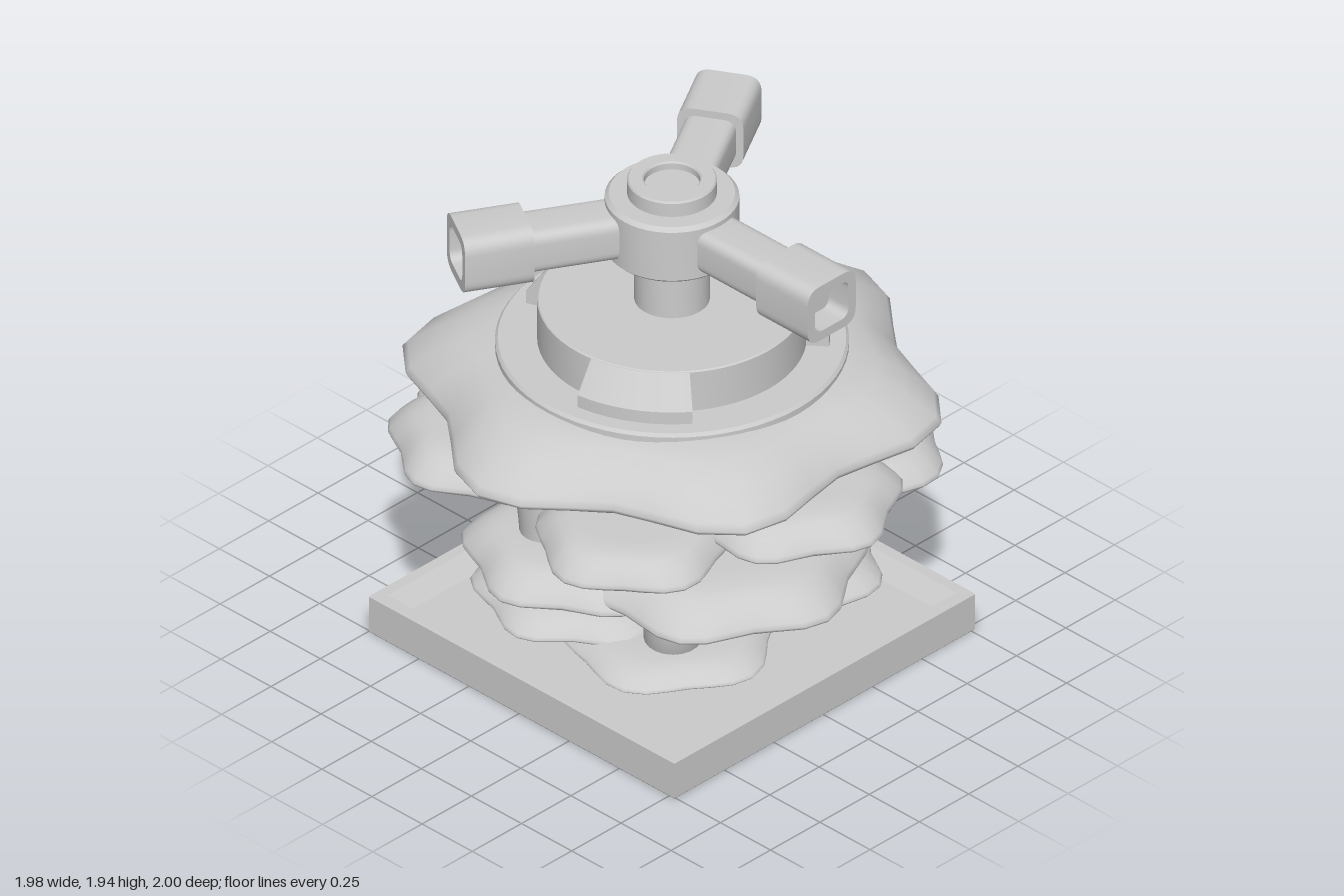
import * as THREE from 'three';
import { mergeVertices, toCreasedNormals } from 'three/addons/utils/BufferGeometryUtils.js';

const V2 = (p) => new THREE.Vector2(p[0], p[1]);
const grey = new THREE.MeshStandardMaterial({ color: 0xcccccc, side: THREE.DoubleSide });

function mesh(name, geometry) {
  const m = new THREE.Mesh(geometry, grey);
  m.name = name;
  return m;
}

// turned part with sharp edges kept
function turned(name, points, segments = 48, start = 0) {
  return mesh(name, toCreasedNormals(new THREE.LatheGeometry(points.map(V2), segments, start), 0.6));
}

// domed cap with a scalloped rim: profile in rim radius and height fractions
const CAP = [[0, 0.03], [0.6, 0.01], [0.86, 0], [0.95, 0.03], [0.99, 0.1], [1, 0.17], [0.98, 0.28],
  [0.93, 0.44], [0.86, 0.65], [0.76, 0.85], [0.64, 0.96], [0.45, 1], [0, 1]];

function scallopedCap(name, x, y0, y1, z, radius, lobes, turn, depth) {
  const pts = CAP.map(([r, h]) => new THREE.Vector2(r * radius, y0 + h * (y1 - y0)));
  let g = new THREE.LatheGeometry(pts, lobes * 6);
  g.deleteAttribute('uv');
  g.deleteAttribute('normal');
  g.rotateY(-Math.PI / 2 - turn);
  const p = g.attributes.position;
  for (let i = 0; i < p.count; i++) {
    const a = Math.atan2(p.getZ(i), p.getX(i)) - turn;
    const r = Math.hypot(p.getX(i), p.getZ(i)) / radius;
    const s = 1 - depth * Math.sin(a * lobes / 2) ** 2 * r * r;
    p.setX(i, p.getX(i) * s);
    p.setZ(i, p.getZ(i) * s);
  }
  g = mergeVertices(g, 1e-4);
  g.computeVertexNormals();
  const m = mesh(name, g);
  m.position.set(x, 0, z);
  return m;
}

function roundedSquare(path, w, h, r) {
  path.moveTo(-w + r, -h);
  path.lineTo(w - r, -h);
  path.quadraticCurveTo(w, -h, w, -h + r);
  path.lineTo(w, h - r);
  path.quadraticCurveTo(w, h, w - r, h);
  path.lineTo(-w + r, h);
  path.quadraticCurveTo(-w, h, -w, h - r);
  path.lineTo(-w, -h + r);
  path.quadraticCurveTo(-w, -h, -w + r, -h);
  return path;
}

function bar(name, shape, z0, z1) {
  const g = new THREE.ExtrudeGeometry(shape, { depth: z1 - z0, bevelEnabled: false, curveSegments: 6 });
  g.translate(0, 0, z0);
  return mesh(name, toCreasedNormals(g, 0.6));
}

// curved wedge against the drum: outer wall leans in near the top
function clip() {
  const half = 0.385, rIn = 0.44, rOut = 0.562, h = 0.172;
  const s = new THREE.Shape();
  s.absarc(0, 0, rOut, -half, half, false);
  s.absarc(0, 0, rIn, half, -half, true);
  const g = new THREE.ExtrudeGeometry(s, { depth: h, steps: 3, bevelEnabled: false, curveSegments: 12 });
  const p = g.attributes.position;
  for (let i = 0; i < p.count; i++) {
    const r = Math.hypot(p.getX(i), p.getY(i));
    if (r < 0.5) continue;
    const t = Math.max(0, (p.getZ(i) / h - 1 / 3) * 1.5);
    const k = (rOut - t * 0.08) / r;
    p.setXY(i, p.getX(i) * k, p.getY(i) * k);
  }
  g.rotateX(-Math.PI / 2);
  return mesh('drumClip', toCreasedNormals(g, 0.4));
}

export function createModel() {
  const model = new THREE.Group();
  const body = new THREE.Group();
  body.name = 'body';
  body.position.z = 0.02;
  model.add(body);

  // square tray with a sloping inner rim
  const k = Math.SQRT2;
  body.add(turned('baseTray', [[0, 0], [0.755 * k, 0], [0.762 * k, 0.008], [0.762 * k, 0.155], [0.757 * k, 0.162],
    [0.715 * k, 0.162], [0.655 * k, 0.1], [0, 0.1]], 4, Math.PI / 4));

  // leaning columns that curve inward at the foot: top x, z and radius
  for (const [x, z, r] of [[-0.38, 0.38, 0.105], [0.27, 0.42, 0.1], [0.54, -0.03, 0.11],
    [0.3, -0.42, 0.09], [-0.07, -0.48, 0.09], [-0.5, -0.2, 0.1], [-0.06, 0.2, 0.085]]) {
    const path = new THREE.CatmullRomCurve3([[0.5, 0.1], [0.82, 0.28], [0.91, 0.65], [1, 1.12]]
      .map(([f, y]) => new THREE.Vector3(x * f, y, z * f)));
    body.add(mesh('column', new THREE.TubeGeometry(path, 20, r, 20)));
  }

  // three tiers of small shelves: x, bottom, top, z, radius, lobes, turn
  const shelves = [
    // lower tier
    [0.28, 0.24, 0.335, 0.2, 0.43, 6, 0.1], [-0.24, 0.195, 0.27, 0.23, 0.4, 5, 2.8],
    [-0.28, 0.24, 0.335, -0.16, 0.41, 6, 3], [0.24, 0.195, 0.27, -0.24, 0.39, 5, 0.2],
    // middle tier
    [-0.09, 0.475, 0.62, 0.32, 0.55, 6, 1.57], [0.38, 0.45, 0.575, 0.1, 0.46, 6, 0],
    [-0.34, 0.45, 0.575, -0.1, 0.45, 6, 3.1], [0.1, 0.475, 0.61, -0.38, 0.47, 6, -1.57],
    // upper tier
    [0.02, 0.8, 0.925, 0.55, 0.43, 6, 1.57], [0.5, 0.83, 0.96, -0.02, 0.39, 6, -0.5],
    [0.43, 0.755, 0.87, 0.43, 0.38, 5, 0], [0.43, 0.755, 0.87, -0.42, 0.37, 5, 0.1],
    [-0.1, 0.795, 0.925, -0.59, 0.43, 6, -1.57], [-0.46, 0.83, 0.96, -0.4, 0.42, 6, 3.2],
    [-0.5, 0.755, 0.87, 0.3, 0.37, 5, 3.1],
  ];
  for (const [x, y0, y1, z, r, n, turn] of shelves) {
    body.add(scallopedCap('shelf', x, y0, y1, z, r, n, turn, 0.13));
  }

  // large six-lobed canopy, collar and drum
  body.add(scallopedCap('canopy', 0, 1.02, 1.245, 0, 0.99, 6, 0, 0.16));
  body.add(turned('collar', [[0, 1.2], [0.63, 1.2], [0.63, 1.25], [0.62, 1.262], [0, 1.262]], 64));
  body.add(turned('drum', [[0, 1.25], [0.48, 1.25], [0.48, 1.425], [0.475, 1.43], [0, 1.43]], 64));
  for (let i = 0; i < 3; i++) {
    const c = clip();
    c.position.y = 1.255;
    c.rotation.y = Math.PI / 2 + i * Math.PI * 2 / 3;
    body.add(c);
  }

  // stem, hub and recessed top ring
  body.add(turned('stem', [[0, 1.42], [0.135, 1.42], [0.135, 1.68], [0, 1.68]]));
  body.add(turned('hub', [[0, 1.65], [0.23, 1.65], [0.24, 1.66], [0.24, 1.865], [0.225, 1.88], [0, 1.88]]));
  body.add(turned('hubRing', [[0.16, 1.87], [0.16, 1.935], [0.155, 1.942], [0.105, 1.942], [0.1, 1.935],
    [0.1, 1.91], [0, 1.91]]));

  // three arms ending in open square sleeves
  for (let i = 0; i < 3; i++) {
    const arm = new THREE.Group();
    arm.name = 'arm';
    arm.position.y = 1.762;
    arm.rotation.y = i * Math.PI * 2 / 3;
    arm.add(bar('armBar', roundedSquare(new THREE.Shape(), 0.095, 0.085, 0.045), 0.15, 0.7));
    const sleeve = roundedSquare(new THREE.Shape(), 0.122, 0.115, 0.06);
    sleeve.holes.push(roundedSquare(new THREE.Path(), 0.085, 0.078, 0.04));
    arm.add(bar('armSleeve', sleeve, 0.54, 0.797));
    body.add(arm);
  }
  return model;
}
